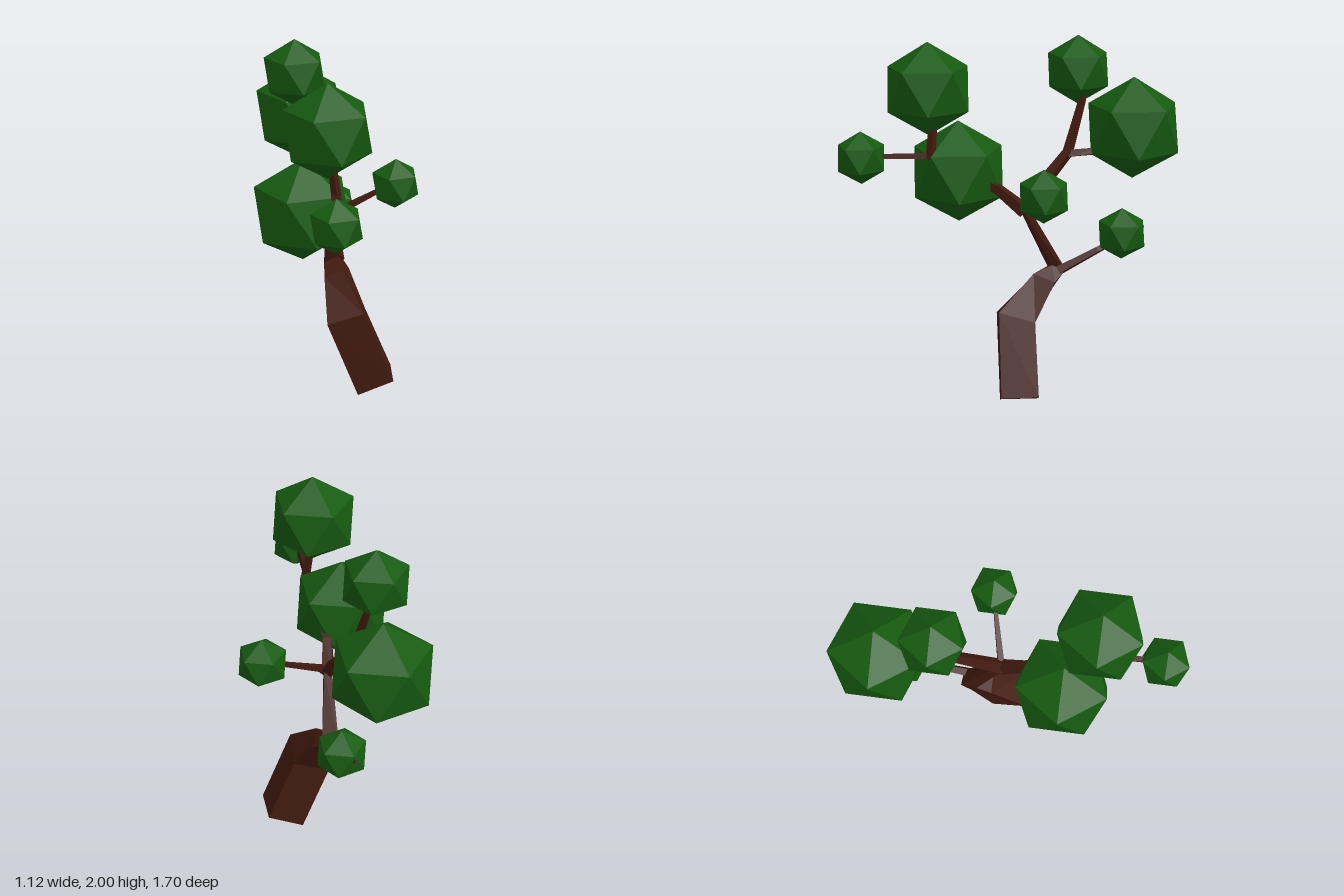
import * as THREE from 'three';

const bark = new THREE.MeshStandardMaterial({ color: 0x421a0f, flatShading: true });
const leaf = new THREE.MeshStandardMaterial({ color: 0x165a10, flatShading: true });

// Skin a list of equal-sized rings (clockwise seen from the tip) and cap both ends.
function loft(name, rings) {
  const n = rings[0].length;
  const index = [];
  for (let i = 0; i < rings.length - 1; i++) {
    for (let j = 0; j < n; j++) {
      const a = i * n + j, b = i * n + (j + 1) % n;
      index.push(a, a + n, b + n, a, b + n, b);
    }
  }
  const top = (rings.length - 1) * n;
  for (let j = 1; j < n - 1; j++) {
    index.push(0, j, j + 1, top, top + j + 1, top + j);
  }
  const geo = new THREE.BufferGeometry();
  geo.setAttribute('position', new THREE.Float32BufferAttribute(rings.flat(2), 3));
  geo.setIndex(index);
  const flat = geo.toNonIndexed();
  flat.computeVertexNormals();
  const mesh = new THREE.Mesh(flat, bark);
  mesh.name = name;
  return mesh;
}

// Square-section limb through points [x, y, z, radius].
function limb(name, points) {
  const pos = points.map(p => new THREE.Vector3(p[0], p[1], p[2]));
  const ref = new THREE.Vector3(0.3, 0.2, 1);
  const rings = points.map((p, i) => {
    const dir = pos[Math.min(i + 1, pos.length - 1)].clone()
      .sub(pos[Math.max(i - 1, 0)]).normalize();
    const u = ref.clone().cross(dir).normalize();
    const v = u.clone().cross(dir);
    return [0, 1, 2, 3].map(k => {
      const a = k * Math.PI / 2 + Math.PI / 4;
      return pos[i].clone().addScaledVector(u, p[3] * Math.cos(a))
        .addScaledVector(v, p[3] * Math.sin(a)).toArray();
    });
  });
  return loft(name, rings);
}

// Icosahedron standing on a corner.
function foliage(name, x, y, z, r) {
  const geo = new THREE.IcosahedronGeometry(r, 0);
  geo.rotateZ(-Math.atan(2 / (1 + Math.sqrt(5))));
  const mesh = new THREE.Mesh(geo, leaf);
  mesh.name = name;
  mesh.position.set(x, y, z);
  return mesh;
}

export function createModel() {
  const tree = new THREE.Group();
  tree.name = 'tree';

  // Leaning trunk: corners run left, back, right, front
  tree.add(loft('trunk', [
    [[0.12, 0, 0.21], [0.24, 0, 0.04], [0.40, 0.09, 0.16], [0.285, 0.09, 0.33]],
    [[-0.03, 0.458, 0.113], [0.097, 0.39, -0.04], [0.267, 0.468, 0.077], [0.14, 0.526, 0.23]],
    [[0.076, 0.66, -0.06], [0.165, 0.61, -0.145], [0.26, 0.67, -0.07], [0.16, 0.71, 0]],
    [[0.125, 0.72, -0.13], [0.185, 0.72, -0.2], [0.257, 0.72, -0.14], [0.2, 0.75, -0.1]],
    [[0.03, 1.08, 0.01], [0.06, 1.07, -0.03], [0.1, 1.08, -0.01], [0.065, 1.09, 0.03]],
  ]));

  // Branches
  const branches = {
    rearBranch: [[0.06, 1.05, 0.01, 0.045], [0.14, 1.36, -0.26, 0.032], [0.145, 1.65, -0.36, 0.022], [0.13, 1.75, -0.37, 0.018]],
    rearSideBranch: [[0.14, 1.355, -0.25, 0.026], [0.24, 1.365, -0.42, 0.024], [0.29, 1.4, -0.54, 0.02]],
    leftTwig: [[0.06, 1.07, 0, 0.025], [0.41, 1.23, 0.14, 0.012]],
    frontBranch: [[0.07, 1.05, -0.01, 0.045], [-0.04, 1.175, 0.1, 0.034], [-0.215, 1.375, 0.43, 0.026]],
    frontUprightBranch: [[-0.205, 1.36, 0.43, 0.028], [-0.215, 1.52, 0.405, 0.024], [-0.24, 1.68, 0.41, 0.018]],
    frontSideBranch: [[-0.205, 1.375, 0.41, 0.024], [-0.43, 1.375, 0.72, 0.018]],
    lowTwig: [[0.23, 0.72, -0.12, 0.03], [0.34, 0.83, -0.31, 0.021], [0.44, 0.95, -0.565, 0.014]],
  };
  for (const [name, points] of Object.entries(branches)) tree.add(limb(name, points));

  // Leaf clusters: x, y, z, radius
  const clusters = {
    upperFrontFoliage: [-0.25, 1.738, 0.407, 0.255],
    middleFrontFoliage: [-0.26, 1.248, 0.2, 0.288],
    smallFrontFoliage: [-0.434, 1.37, 0.73, 0.146],
    topRearFoliage: [0.094, 1.808, -0.37, 0.192],
    largeRearFoliage: [0.3, 1.48, -0.605, 0.288],
    smallLeftFoliage: [0.417, 1.228, 0.147, 0.146],
    lowRearFoliage: [0.408, 0.92, -0.43, 0.146],
  };
  for (const [name, c] of Object.entries(clusters)) tree.add(foliage(name, ...c));

  return tree;
}
